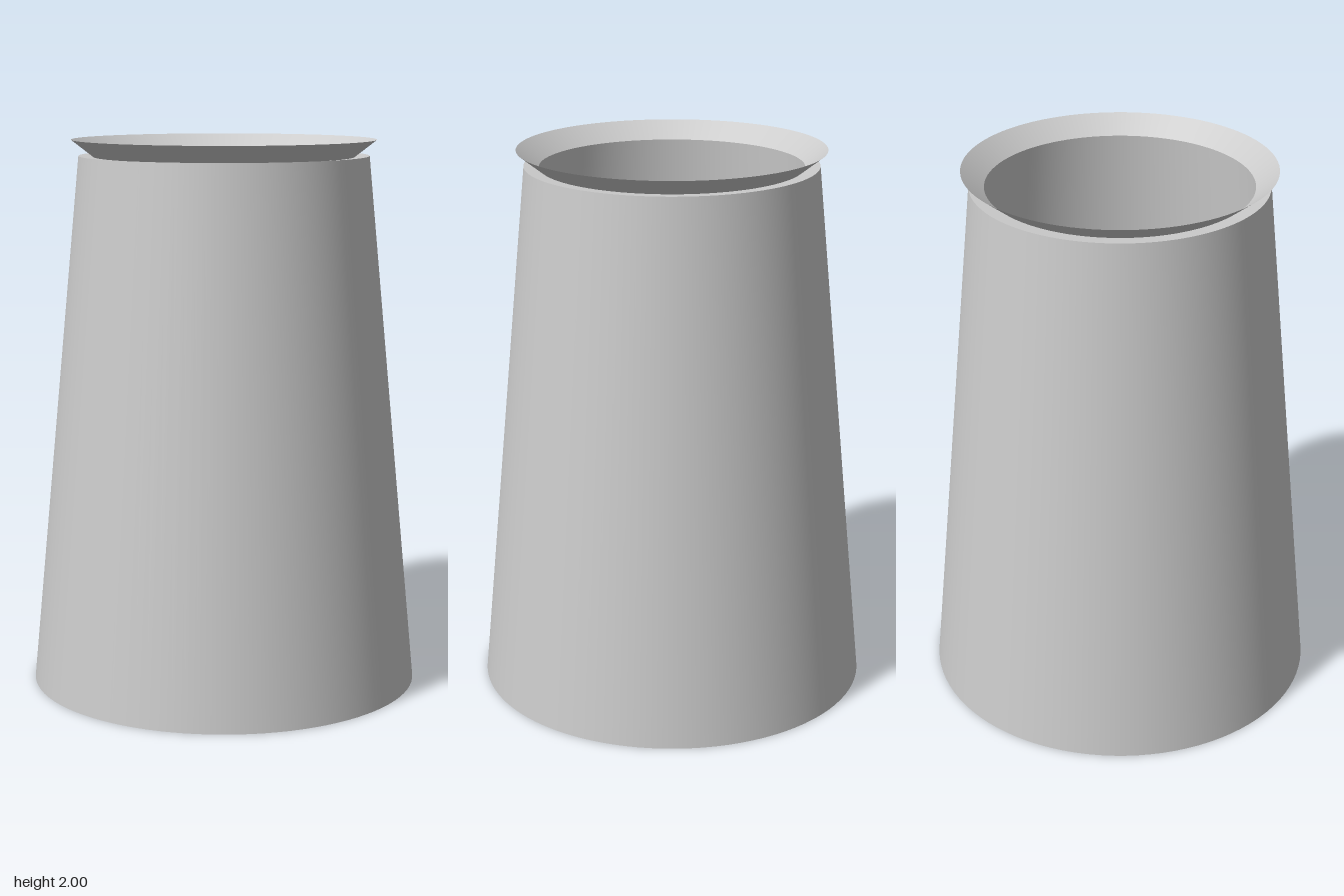
import * as THREE from 'three';

const SEGMENTS = 96;

export function createModel() {
  const group = new THREE.Group();
  const material = new THREE.MeshStandardMaterial({ color: 0xcccccc, side: THREE.DoubleSide });

  // Each band is its own lathe, so the edges between bands stay sharp
  const addBand = (name, r0, y0, r1, y1) => {
    const profile = [new THREE.Vector2(r0, y0), new THREE.Vector2(r1, y1)];
    const mesh = new THREE.Mesh(new THREE.LatheGeometry(profile, SEGMENTS), material);
    mesh.name = name;
    group.add(mesh);
  };

  // Closed base and tapering wall
  addBand('base', 0, 0, 0.712, 0);
  addBand('wall', 0.712, 0, 0.526, 1.942);

  // Narrow shoulder turning inwards, then the thin flared lip
  addBand('shoulder', 0.526, 1.942, 0.472, 1.938);
  addBand('lip', 0.472, 1.938, 0.552, 2);

  return group;
}
